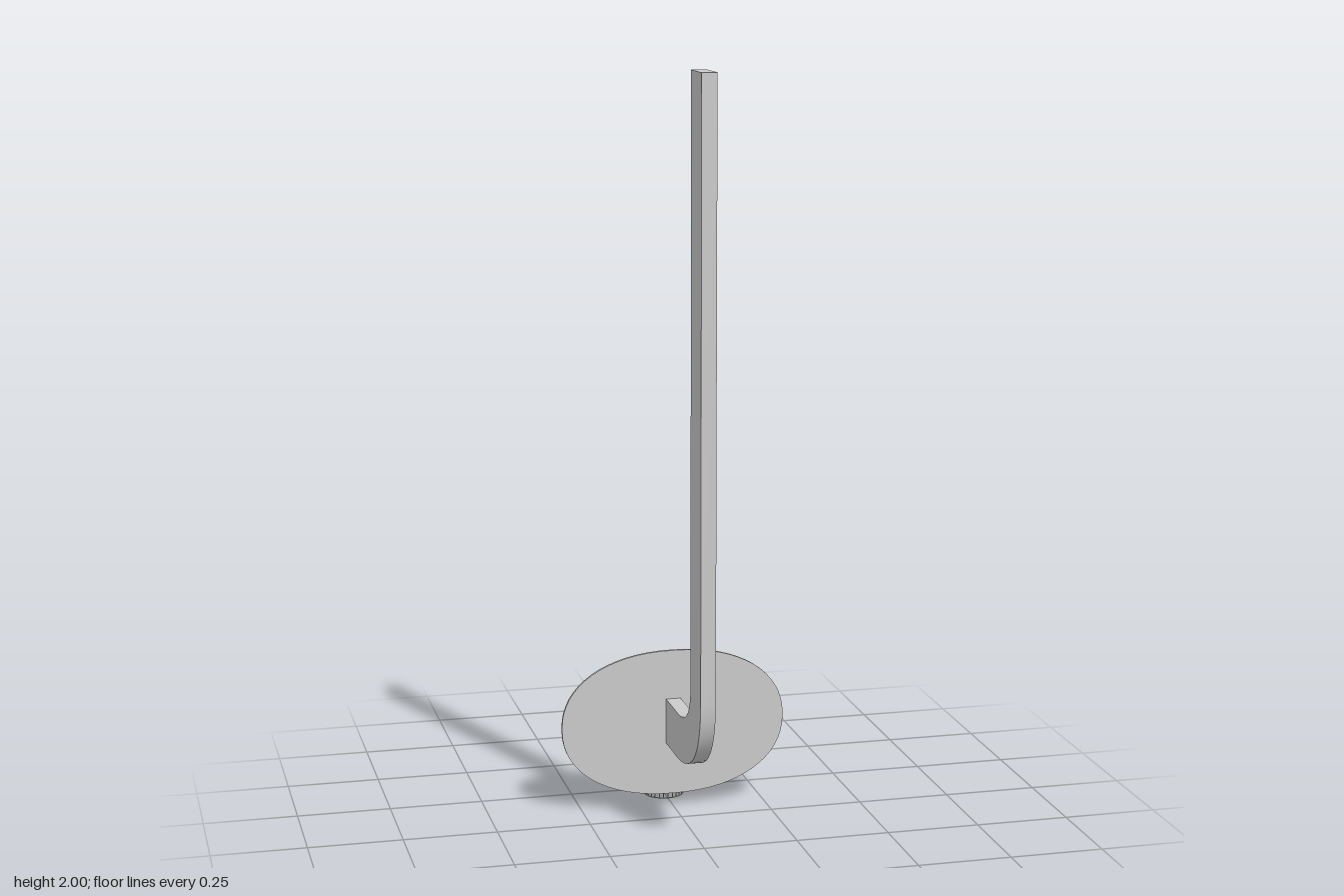
import * as THREE from 'three';
import { toCreasedNormals } from 'three/addons/utils/BufferGeometryUtils.js';

const paint = (color) => new THREE.MeshStandardMaterial({ color });
const grey = paint(0xcccccc);
const orange = paint(0xd9480f);
const black = paint(0x0a0a0a);

function add(parent, name, geometry, material, x = 0, y = 0, z = 0) {
  const mesh = new THREE.Mesh(geometry, material);
  mesh.name = name;
  mesh.position.set(x, y, z);
  parent.add(mesh);
  return mesh;
}

const extrude = (shape, depth, curveSegments = 12) =>
  new THREE.ExtrudeGeometry(shape, { depth, bevelEnabled: false, curveSegments });

// Flat rectangular-section post, bent forward into the arm; drawn in the z-y plane
function postGeometry() {
  const s = new THREE.Shape();
  s.moveTo(-0.092, 0.178);
  s.lineTo(0.03, 0.178);
  s.bezierCurveTo(0.18, 0.18, 0.287, 0.25, 0.287, 0.4);
  s.lineTo(0.287, 2);
  s.lineTo(0.18, 2);
  s.lineTo(0.18, 0.42);
  s.bezierCurveTo(0.18, 0.34, 0.13, 0.302, 0.04, 0.302);
  s.lineTo(-0.092, 0.302);
  s.closePath();
  const g = extrude(s, 0.04).translate(0, 0, -0.02).rotateY(-Math.PI / 2);
  return toCreasedNormals(g, 0.6);
}

// Rounded oval board, slightly fuller than an ellipse
function boardGeometry() {
  const pts = [];
  const power = 2 / 2.2;
  for (let i = 0; i < 64; i++) {
    const a = (i / 64) * Math.PI * 2, c = Math.cos(a), s = Math.sin(a);
    pts.push(new THREE.Vector2(
      0.306 * Math.sign(c) * Math.abs(c) ** power,
      0.201 * Math.sign(s) * Math.abs(s) ** power));
  }
  return toCreasedNormals(extrude(new THREE.Shape(pts), 0.008), 0.6);
}

// Rectangular target outline
function targetGeometry(w, h, bar) {
  const rect = (a, b) => [[-a, -b], [a, -b], [a, b], [-a, b]].map((p) => new THREE.Vector2(...p));
  const s = new THREE.Shape(rect(w / 2, h / 2));
  s.holes.push(new THREE.Path(rect(w / 2 - bar, h / 2 - bar)));
  return extrude(s, 0.002);
}

export function createModel() {
  const model = new THREE.Group();
  model.name = 'basketballHoop';

  add(model, 'post', postGeometry(), grey);
  add(model, 'backboard', boardGeometry(), grey, 0, 0.236, -0.1);
  add(model, 'targetFrame', targetGeometry(0.295, 0.205, 0.015), black, 0, 0.234, -0.1012);

  // Rim and its bracket
  const hoop = new THREE.Group();
  hoop.name = 'hoop';
  hoop.position.set(0, 0, -0.207);
  model.add(hoop);
  add(hoop, 'rim', new THREE.TorusGeometry(0.077, 0.0055, 8, 32).rotateX(Math.PI / 2), orange, 0, 0.142, 0);
  add(hoop, 'rimBracket', new THREE.BoxGeometry(0.02, 0.006, 0.032), orange, 0, 0.142, 0.093);

  // Net: vertical cords following one profile, tied by horizontal rings
  const net = new THREE.Group();
  net.name = 'net';
  hoop.add(net);
  const profile = new THREE.CatmullRomCurve3([
    [0.074, 0.14], [0.069, 0.11], [0.062, 0.075], [0.056, 0.04], [0.054, 0.006],
  ].map(([r, y]) => new THREE.Vector3(r, y, 0)));
  const cord = new THREE.TubeGeometry(profile, 10, 0.0015, 5);
  const cords = 28, rings = 9;
  for (let i = 0; i < cords; i++) {
    add(net, 'netCord', cord, grey).rotation.y = (i / cords) * Math.PI * 2;
  }
  for (let i = 1; i <= rings; i++) {
    const p = profile.getPoint(i / rings);
    const ring = new THREE.TorusGeometry(p.x, 0.0015, 5, cords).rotateX(Math.PI / 2);
    add(net, 'netRing', ring, grey, 0, Math.max(p.y, 0.0015), 0);
  }
  // Cord ends hang down to the floor line
  net.scale.y = 1.03;
  net.position.y = -0.0055;
  return model;
}
